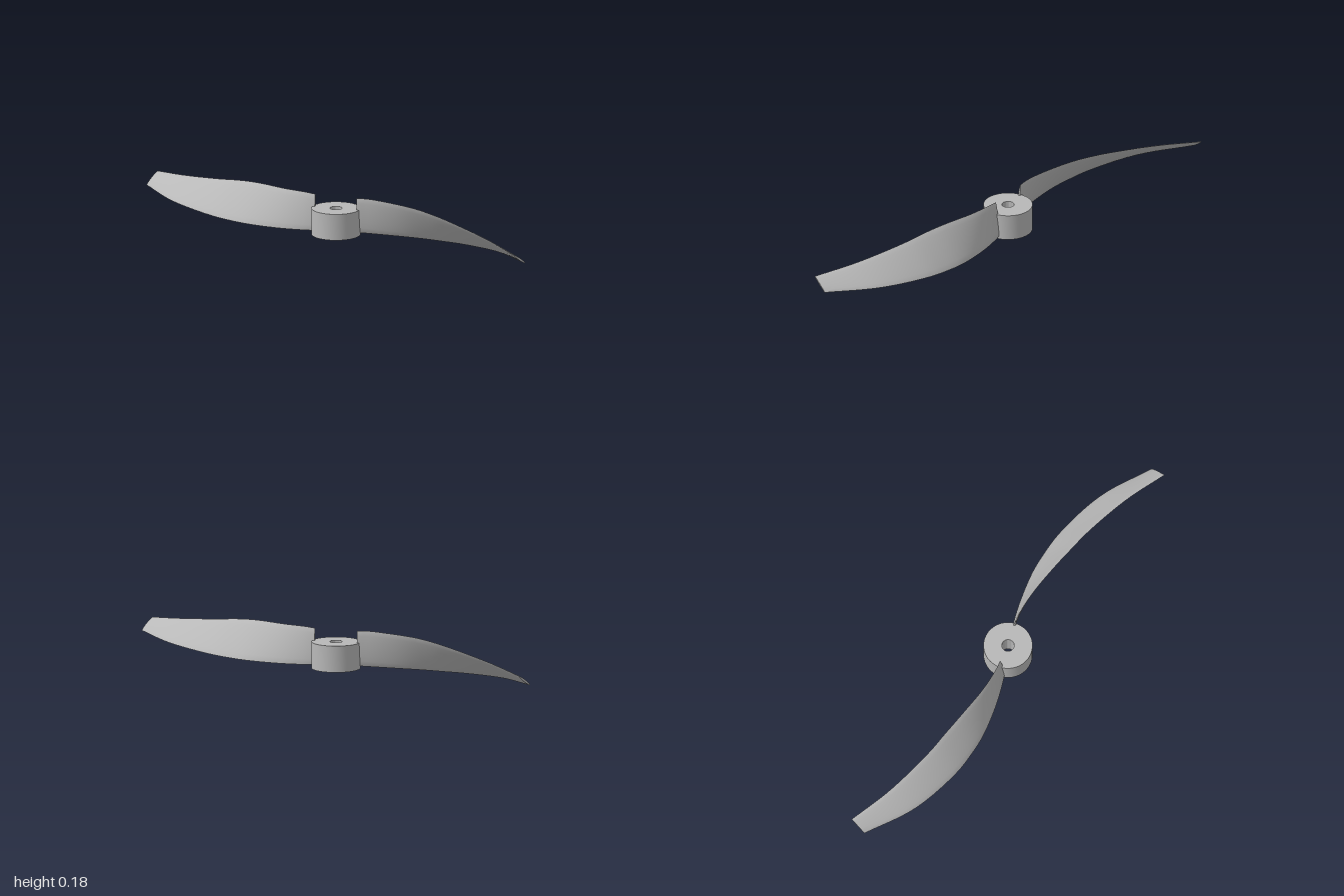
import * as THREE from 'three';
import { toCreasedNormals } from 'three/addons/utils/BufferGeometryUtils.js';

const SPAN = 40;   // sections along a blade
const CHORD = 8;   // points across each side of a section
const HALF_THICKNESS = 0.005;

// Upper and lower blade edges, root to tip
const edge = (points) => new THREE.CatmullRomCurve3(points.map((p) => new THREE.Vector3(...p)));
const upperEdge = edge([
  [0.1, 0.177, 0.014], [0.15, 0.181, 0.024], [0.25, 0.181, 0.058], [0.4, 0.18, 0.13],
  [0.5, 0.171, 0.182], [0.6, 0.156, 0.235], [0.8, 0.125, 0.367], [0.965, 0.098, 0.507],
]);
const lowerEdge = edge([
  [0.1, 0.012, -0.007], [0.15, 0.011, -0.008], [0.26, 0.01, -0.002], [0.41, 0.012, 0.022],
  [0.51, 0.015, 0.054], [0.62, 0.021, 0.102], [0.83, 0.035, 0.245], [1.0, 0.047, 0.44],
]);

// Thin twisted blade lofted from lens-shaped sections
function bladeGeometry() {
  const positions = [];
  const index = [];
  const ring = CHORD * 2;
  for (let i = 0; i <= SPAN; i++) {
    const t = i / SPAN;
    const low = lowerEdge.getPoint(t);
    const high = upperEdge.getPoint(t);
    const along = lowerEdge.getTangent(t).add(upperEdge.getTangent(t));
    const normal = along.cross(high.clone().sub(low)).normalize();
    for (let j = 0; j < ring; j++) {
      const angle = (j / ring) * Math.PI * 2;
      const p = low.clone().lerp(high, (1 - Math.cos(angle)) / 2);
      p.addScaledVector(normal, Math.sin(angle) * HALF_THICKNESS);
      positions.push(p.x, p.y, p.z);
    }
  }
  for (let i = 0; i < SPAN; i++) {
    for (let j = 0; j < ring; j++) {
      const k = (j + 1) % ring;
      const a = i * ring + j, b = a + ring, c = (i + 1) * ring + k, d = i * ring + k;
      index.push(a, b, c, a, c, d);
    }
  }
  // Root and tip caps
  const tip = SPAN * ring;
  for (let j = 1; j < ring - 1; j++) {
    index.push(0, j, j + 1, tip, tip + j + 1, tip + j);
  }
  const geometry = new THREE.BufferGeometry();
  geometry.setAttribute('position', new THREE.Float32BufferAttribute(positions, 3));
  geometry.setIndex(index);
  return toCreasedNormals(geometry, 0.9);
}

export function createModel() {
  const model = new THREE.Group();
  model.name = 'propeller';
  const grey = new THREE.MeshStandardMaterial({ color: 0xb8b8b8 });
  grey.name = 'light grey';

  // Hub with a shaft hole
  const profile = [[0.028, 0], [0.111, 0], [0.111, 0.122], [0.028, 0.122], [0.028, 0]]
    .map(([r, y]) => new THREE.Vector2(r, y));
  const hub = new THREE.Mesh(toCreasedNormals(new THREE.LatheGeometry(profile, 64), 0.6), grey);
  hub.name = 'hub';
  model.add(hub);

  // Two opposite blades
  const geometry = bladeGeometry();
  ['leftBlade', 'rightBlade'].forEach((name, i) => {
    const blade = new THREE.Mesh(geometry, grey);
    blade.name = name;
    blade.rotation.y = i * Math.PI;
    model.add(blade);
  });
  return model;
}
